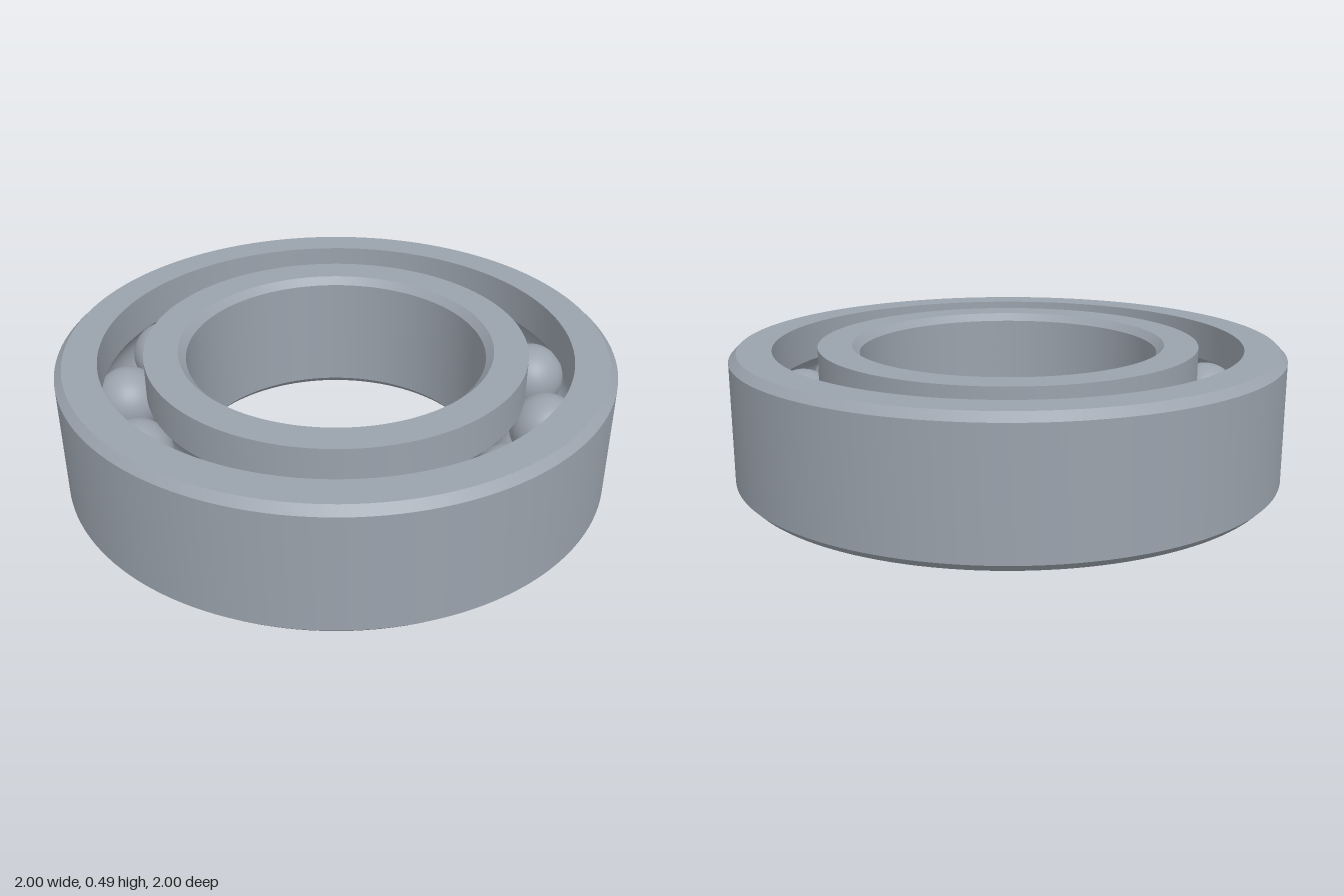
import * as THREE from 'three';
import { toCreasedNormals } from 'three/addons/utils/BufferGeometryUtils.js';

const H = 0.4865;        // bearing width
const CHAMFER = 0.027;
const PITCH = 0.77;      // radius of the ball circle
const BALL = 0.127;
const BALLS = 13;

// Arc of the ball groove cut into a shoulder, listed from bottom to top
function groove(shoulder, steps = 18) {
  const d = shoulder - PITCH;
  const half = Math.acos(Math.abs(d) / BALL);
  const points = [];
  for (let i = 0; i <= steps; i++) {
    const a = -half + (2 * half * i) / steps;
    points.push([PITCH + Math.sign(d) * BALL * Math.cos(a), H / 2 + BALL * Math.sin(a)]);
  }
  return points;
}

// Closed counter-clockwise profile spun round the axis, with sharp edges kept
function ring(name, profile, material) {
  const points = [...profile, profile[0]].map(([r, y]) => new THREE.Vector2(r, y));
  const geometry = toCreasedNormals(new THREE.LatheGeometry(points, 144), 0.45);
  const mesh = new THREE.Mesh(geometry, material);
  mesh.name = name;
  return mesh;
}

export function createModel() {
  const model = new THREE.Group();
  model.name = 'ballBearing';
  const steel = new THREE.MeshStandardMaterial({ color: 0x9aa2ac });
  steel.name = 'steel';

  // Outer ring: chamfered outside, grooved inside
  const ro = 1, so = 0.85;
  model.add(ring('outerRing', [
    [so, 0], [ro - CHAMFER, 0], [ro, CHAMFER],
    [ro, H - CHAMFER], [ro - CHAMFER, H], [so, H],
    ...groove(so).reverse(),
  ], steel));

  // Inner ring: grooved outside, chamfered bore
  const ri = 0.5405, si = 0.69;
  model.add(ring('innerRing', [
    [ri + CHAMFER, 0], [si, 0],
    ...groove(si),
    [si, H], [ri + CHAMFER, H], [ri, H - CHAMFER], [ri, CHAMFER],
  ], steel));

  // Balls evenly spaced in the grooves
  const balls = new THREE.Group();
  balls.name = 'balls';
  const ballGeometry = new THREE.SphereGeometry(BALL - 0.001, 40, 28);
  for (let i = 0; i < BALLS; i++) {
    const a = THREE.MathUtils.degToRad(12.1) + (i * 2 * Math.PI) / BALLS;
    const ball = new THREE.Mesh(ballGeometry, steel);
    ball.name = `ball${i + 1}`;
    ball.position.set(PITCH * Math.cos(a), H / 2, PITCH * Math.sin(a));
    balls.add(ball);
  }
  model.add(balls);
  return model;
}
